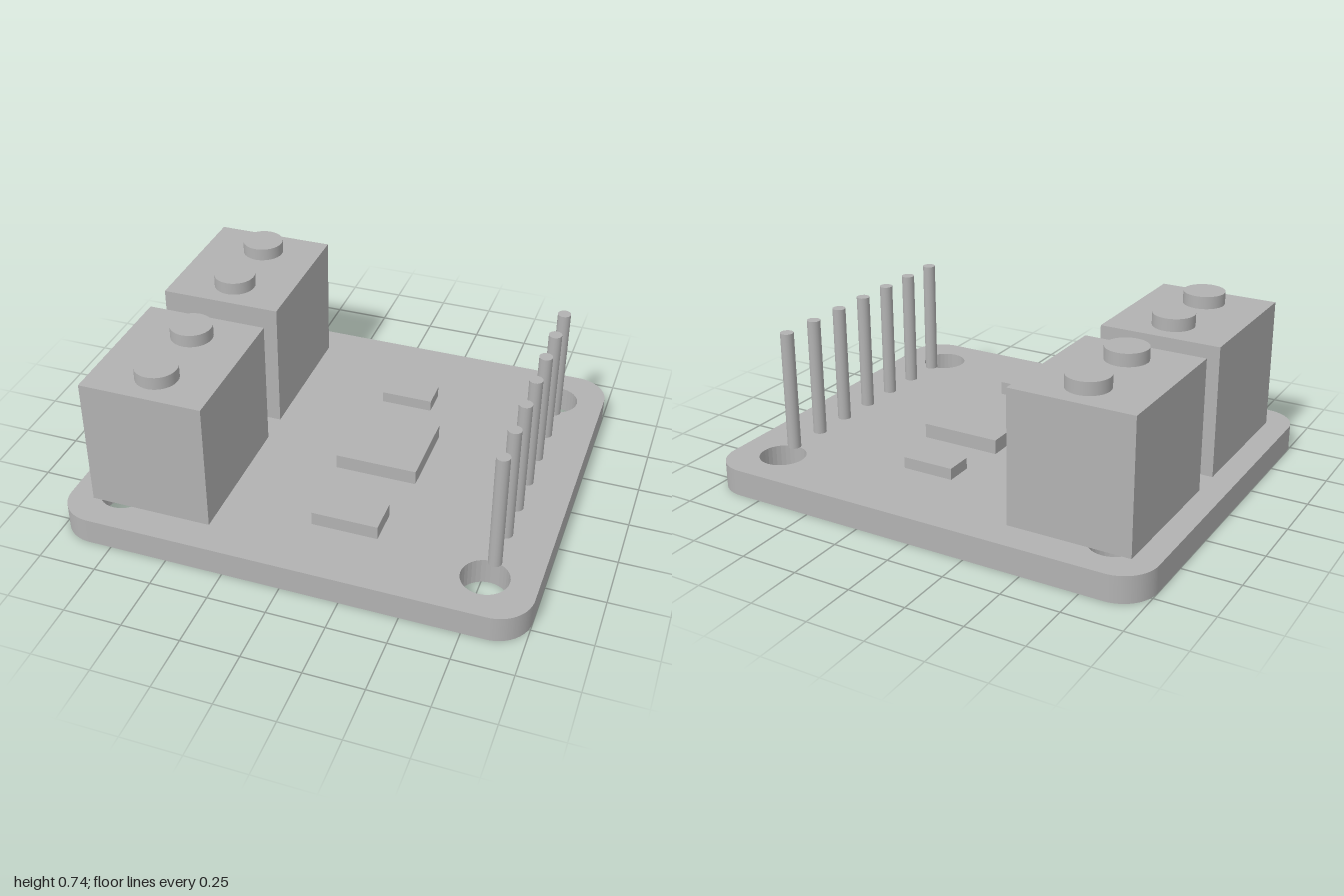
import * as THREE from 'three';

const BOARD_TOP = 0.115;

export function createModel() {
  const model = new THREE.Group();
  const grey = new THREE.MeshStandardMaterial({ color: 0xb2b2b2 });
  grey.name = 'grey';

  function add(name, geometry, x, y, z, parent = model) {
    const mesh = new THREE.Mesh(geometry, grey);
    mesh.name = name;
    mesh.position.set(x, y, z);
    parent.add(mesh);
    return mesh;
  }

  // box resting on the board
  function block(name, w, h, d, x, z, parent) {
    return add(name, new THREE.BoxGeometry(w, h, d), x, BOARD_TOP + h / 2, z, parent);
  }

  // circuit board: rounded plate with four mounting holes
  const hx = 1, hz = 0.856, r = 0.15;
  const outline = new THREE.Shape();
  outline.absarc(hx - r, hz - r, r, 0, Math.PI / 2);
  outline.absarc(-hx + r, hz - r, r, Math.PI / 2, Math.PI);
  outline.absarc(-hx + r, -hz + r, r, Math.PI, Math.PI * 1.5);
  outline.absarc(hx - r, -hz + r, r, Math.PI * 1.5, Math.PI * 2);
  outline.closePath();
  for (const sx of [-1, 1]) {
    for (const sz of [-1, 1]) {
      const hole = new THREE.Path();
      hole.absarc(sx * 0.785, sz * 0.642, 0.1, 0, Math.PI * 2, true);
      outline.holes.push(hole);
    }
  }
  const boardGeometry = new THREE.ExtrudeGeometry(outline, {
    depth: BOARD_TOP, bevelEnabled: false, curveSegments: 16,
  });
  boardGeometry.rotateX(-Math.PI / 2);
  add('board', boardGeometry, 0, 0, 0);

  // two terminal blocks, each with two screws
  const screwGeometry = new THREE.CylinderGeometry(0.091, 0.091, 0.055, 32);
  for (const side of [-1, 1]) {
    const terminal = new THREE.Group();
    terminal.name = side > 0 ? 'frontTerminal' : 'backTerminal';
    block('terminalBody', 0.53, 0.573, 0.643, -0.628, side * 0.392, terminal);
    for (const z of [0.227, 0.556]) {
      add('terminalScrew', screwGeometry, -0.623, 0.7155, side * z, terminal);
    }
    model.add(terminal);
  }

  // chips in the middle of the board
  block('mainChip', 0.356, 0.064, 0.358, 0.178, -0.003);
  block('frontChip', 0.285, 0.06, 0.155, 0.174, 0.49);
  block('backChip', 0.23, 0.05, 0.123, 0.147, -0.426);

  // row of header pins
  const pinHeight = 0.525;
  const pinGeometry = new THREE.CylinderGeometry(0.029, 0.029, pinHeight, 16);
  for (let i = -3; i <= 3; i++) {
    add('headerPin', pinGeometry, 0.8, BOARD_TOP + pinHeight / 2, i * 0.1815);
  }

  return model;
}
